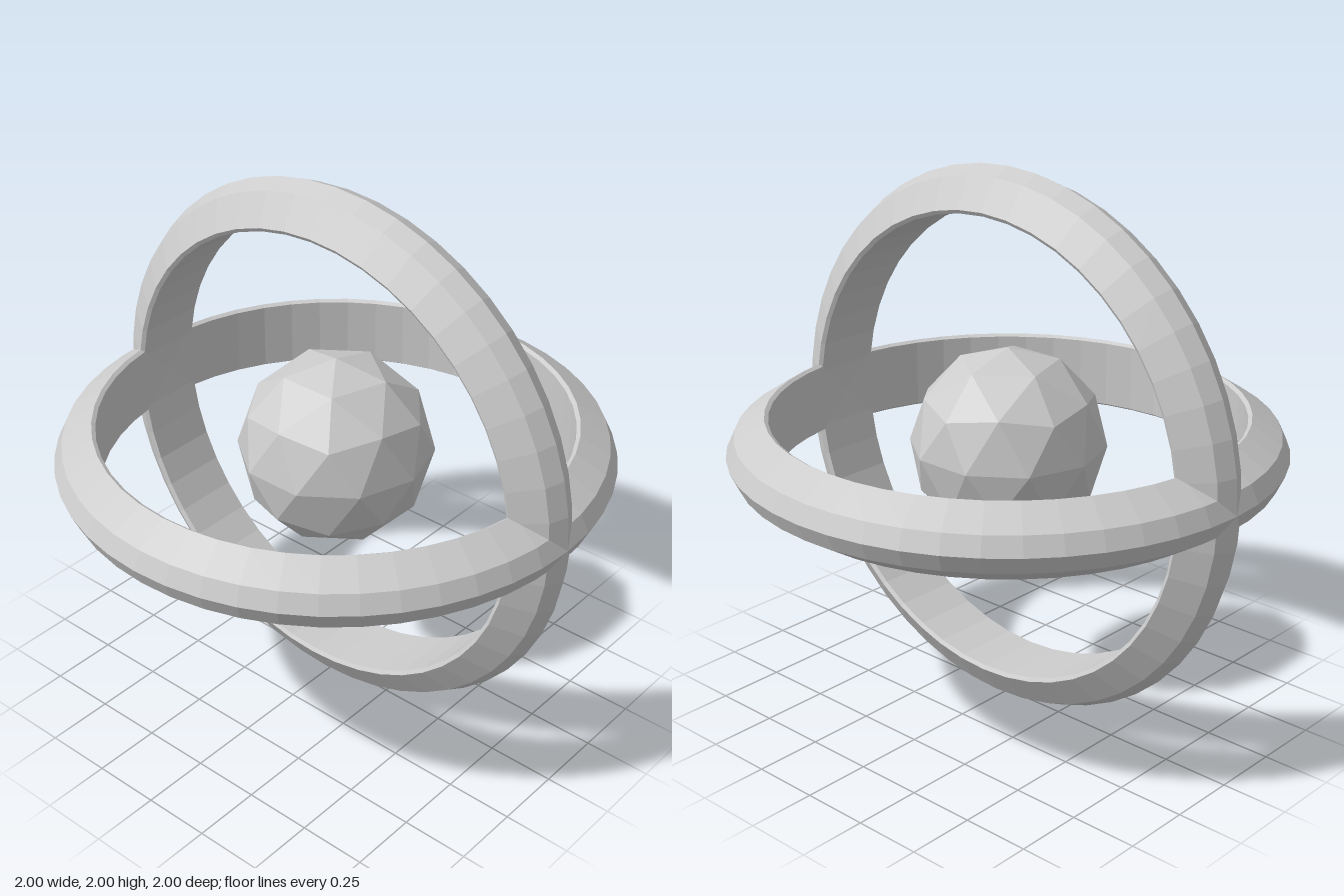
import * as THREE from 'three';

const material = new THREE.MeshStandardMaterial({ color: 0xcccccc, flatShading: true });

// Closed ring section: ridged outer face, thin bevel, flat inner wall
function ringGeometry() {
  const profile = [
    [0.847, -0.126], [0.861, -0.135], [0.97, -0.065], [1, 0],
    [0.97, 0.065], [0.861, 0.135], [0.847, 0.126], [0.847, -0.126],
  ].map(([r, y]) => new THREE.Vector2(r, y));
  return new THREE.LatheGeometry(profile, 48);
}

export function createModel() {
  const model = new THREE.Group();
  const add = (name, geometry) => {
    const mesh = new THREE.Mesh(geometry, material);
    mesh.name = name;
    mesh.position.y = 1;
    model.add(mesh);
  };

  // Two crossing rings
  add('horizontalRing', ringGeometry());
  add('verticalRing', ringGeometry().rotateZ(Math.PI / 2));

  // Faceted core, turned so one vertex points straight up
  const tilt = Math.atan(2 / (1 + Math.sqrt(5)));
  add('core', new THREE.IcosahedronGeometry(0.355, 1).rotateZ(-tilt));

  return model;
}
